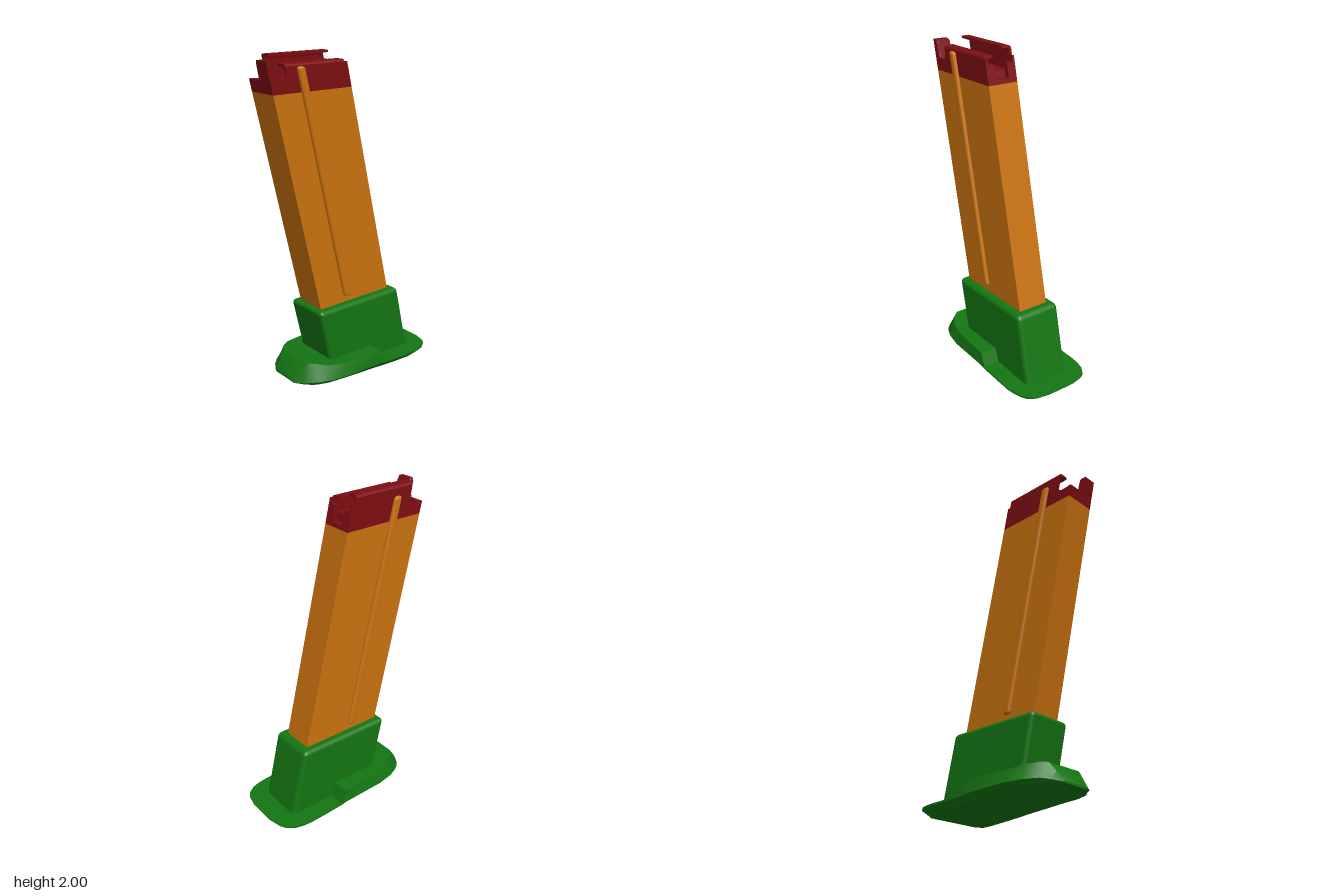
import * as THREE from 'three';
import { toCreasedNormals } from 'three/addons/utils/BufferGeometryUtils.js';
import { RoundedBoxGeometry } from 'three/addons/geometries/RoundedBoxGeometry.js';

const LEAN = 0.233; // shift towards -x per unit of height
const shear = new THREE.Matrix4().set(1, -LEAN, 0, 0, 0, 1, 0, 0, 0, 0, 1, 0, 0, 0, 0, 1);
const paint = (color) => new THREE.MeshStandardMaterial({ color });
const red = paint(0x7d0d12), orange = paint(0xc9720f), green = paint(0x147512);

const shapeOf = (pts) => new THREE.Shape(pts.map(([x, y]) => new THREE.Vector2(x, y)));
const extrude = (pts, depth) => new THREE.ExtrudeGeometry(shapeOf(pts), { depth, bevelEnabled: false });

// Outline in x/y, thickened along z
const sidePlate = (pts, z, depth) => extrude(pts, depth).translate(0, 0, z);
// Outline in z/y, thickened along x, then leaned
const crossPlate = (pts, x0, x1) =>
  extrude(pts.map(([z, y]) => [-z, y]), x1 - x0).rotateY(Math.PI / 2).translate(x0, 0, 0).applyMatrix4(shear);
// Upright box leaned with the body
const leanBox = (x0, x1, y0, y1, w) =>
  new THREE.BoxGeometry(x1 - x0, y1 - y0, w).translate((x0 + x1) / 2, (y0 + y1) / 2, 0).applyMatrix4(shear);

// Base plate lofted along x: [x, bottom half width, y, middle half width, y, top half width, y]
function basePlateGeometry() {
  const stations = [
    [-0.437, 0.09, 0.065, 0.1, 0.07, 0.09, 0.078],
    [-0.40, 0.14, 0.063, 0.16, 0.078, 0.11, 0.13],
    [-0.36, 0.18, 0.062, 0.197, 0.085, 0.125, 0.184],
    [-0.33, 0.195, 0.062, 0.215, 0.085, 0.16, 0.184],
    [-0.27, 0.215, 0.061, 0.24, 0.085, 0.207, 0.172],
    [-0.16, 0.23, 0.06, 0.26, 0.085, 0.235, 0.16],
    [0.12, 0.225, 0.036, 0.26, 0.075, 0.256, 0.16],
    [0.155, 0.225, 0.032, 0.26, 0.068, 0.26, 0.078],
    [0.28, 0.22, 0.02, 0.26, 0.06, 0.26, 0.07],
    [0.40, 0.21, 0.008, 0.26, 0.055, 0.26, 0.066],
    [0.45, 0.2, 0.004, 0.253, 0.053, 0.253, 0.065],
    [0.50, 0.18, 0.01, 0.24, 0.053, 0.24, 0.064],
    [0.55, 0.15, 0.033, 0.205, 0.055, 0.205, 0.063],
    [0.57, 0.125, 0.047, 0.17, 0.057, 0.17, 0.062],
    [0.588, 0.09, 0.057, 0.095, 0.059, 0.095, 0.062],
  ];
  const pos = [], idx = [], n = 6, last = (stations.length - 1) * n;
  for (const [x, wb, yb, wm, ym, wt, yt] of stations)
    pos.push(x, yb, wb, x, ym, wm, x, yt, wt, x, yt, -wt, x, ym, -wm, x, yb, -wb);
  for (let i = 0; i < last; i += n)
    for (let j = 0; j < n; j++) {
      const k = (j + 1) % n;
      idx.push(i + j, i + n + j, i + n + k, i + j, i + n + k, i + k);
    }
  for (let j = 1; j < n - 1; j++) idx.push(0, j, j + 1, last, last + j + 1, last + j);
  const g = new THREE.BufferGeometry();
  g.setAttribute('position', new THREE.Float32BufferAttribute(pos, 3));
  g.setIndex(idx);
  return toCreasedNormals(g, 0.5);
}

// Rounded sleeve whose underside follows the sloping base plate
function sleeveGeometry() {
  const g = new RoundedBoxGeometry(0.63, 0.44, 0.3, 4, 0.028).translate(0.153, 0.27, 0);
  const p = g.attributes.position;
  for (let i = 0; i < p.count; i++)
    if (p.getY(i) < 0.2) p.setY(i, 0.07 - 0.07 * p.getX(i));
  return g.applyMatrix4(shear);
}

export function createModel() {
  const model = new THREE.Group();
  const add = (name, geometry, material, parent = model) => {
    const mesh = new THREE.Mesh(geometry, material);
    mesh.name = name;
    parent.add(mesh);
  };

  add('basePlate', basePlateGeometry(), green);
  add('sleeve', sleeveGeometry(), green);
  add('body', leanBox(-0.121, 0.419, 0.3, 1.8, 0.2), orange);

  // Long raised ribs on both sides
  for (const s of [1, -1])
    add(s > 0 ? 'frontRib' : 'backRib',
      new RoundedBoxGeometry(0.05, 1.41, 0.034, 4, 0.016).translate(0.09, 1.235, s * 0.103).applyMatrix4(shear), orange);

  // Open top with two feed lips
  const top = new THREE.Group();
  top.name = 'feedTop';
  model.add(top);
  const notch = [[-0.452, 1.9], [-0.462, 1.877], [-0.487, 1.868]];
  const foot = [[-0.54, 1.8], [0, 1.8], [-0.034, 1.945], [-0.052, 1.945]];
  add('backWall', sidePlate([...foot, [-0.058, 1.972], [-0.468, 1.972], ...notch, [-0.556, 1.872]], -0.1, 0.015), red, top);
  add('frontWall', sidePlate([...foot, [-0.458, 1.945], ...notch,
    [-0.512, 1.878], [-0.528, 1.91], [-0.541, 1.958], [-0.555, 1.976], [-0.582, 1.98]], 0.085, 0.015), red, top);

  // Curled lips, the back one higher
  for (const [name, s, y] of [['backLip', -1, 2], ['frontLip', 1, 1.958]]) {
    const section = [[0.1, -0.03], [0.1, -0.015], [0.095, -0.005], [0.085, 0], [0.035, 0],
      [0.035, -0.014], [0.08, -0.014], [0.085, -0.03]].map(([z, dy]) => [s * z, y + dy]);
    add(name, crossPlate(section, -0.009, 0.402), red, top);
  }

  // End walls: a half-height post at the rear, a notched wall at the front
  add('rearWall', crossPlate([[0.1, 1.8], [0.1, 1.98], [0.015, 1.98], [0.005, 1.965], [0, 1.89], [-0.01, 1.872],
    [-0.1, 1.872], [-0.1, 1.8]], -0.121, -0.09), red, top);
  add('endWall', crossPlate([[0.1, 1.8], [0.1, 1.912], [0.045, 1.912], [0.045, 1.825], [-0.045, 1.825],
    [-0.045, 1.912], [-0.1, 1.912], [-0.1, 1.8]], 0.389, 0.419), red, top);
  add('follower', leanBox(-0.1, 0.375, 1.79, 1.862, 0.18), red, top);

  return model;
}
